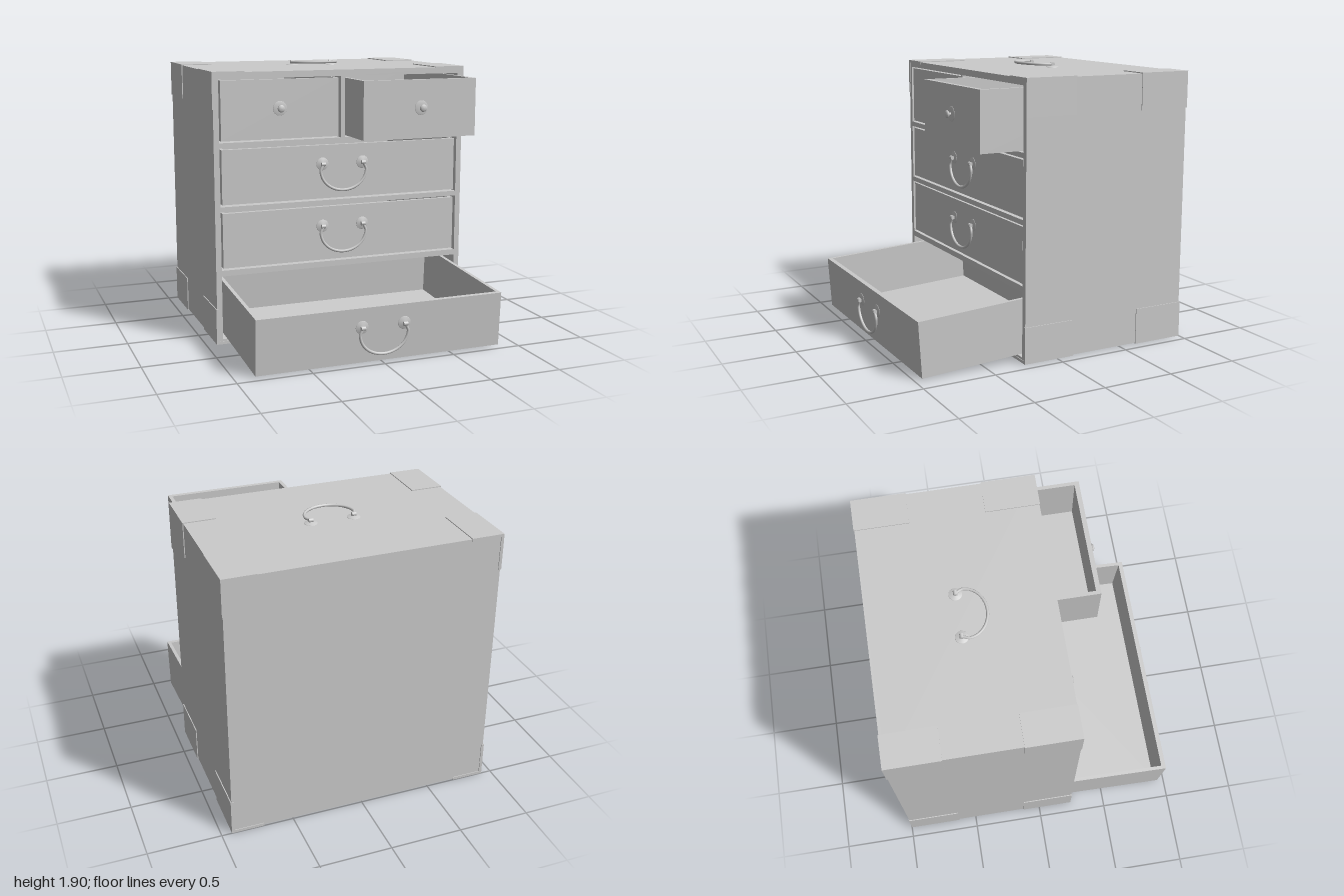
import * as THREE from 'three';

const material = new THREE.MeshStandardMaterial({ color: 0xcccccc });

function add(parent, name, geometry, x = 0, y = 0, z = 0) {
  const mesh = new THREE.Mesh(geometry, material);
  mesh.name = name;
  mesh.position.set(x, y, z);
  parent.add(mesh);
  return mesh;
}

// Box given by its minimum and maximum corners
function addBox(parent, name, [x0, y0, z0], [x1, y1, z1]) {
  return add(parent, name, new THREE.BoxGeometry(x1 - x0, y1 - y0, z1 - z0),
    (x0 + x1) / 2, (y0 + y1) / 2, (z0 + z1) / 2);
}

function rectangle(path, x0, y0, x1, y1) {
  path.moveTo(x0, y0).lineTo(x1, y0).lineTo(x1, y1).lineTo(x0, y1).closePath();
  return path;
}

// Turned part whose axis points along +z
function turned(profile, segments = 24) {
  const points = profile.map(([r, h]) => new THREE.Vector2(r, h));
  return new THREE.LatheGeometry(points, segments).rotateX(Math.PI / 2);
}

// Swinging handle: two rosettes with pins and a curved bail hanging down -y
function makeHandle() {
  const handle = new THREE.Group();
  handle.name = 'handle';
  for (const s of [-1, 1]) {
    add(handle, 'rosette', turned([[0.045, 0], [0.043, 0.004], [0.022, 0.007], [0.01, 0.012], [0, 0.012]]), s * 0.15);
    add(handle, 'pin', new THREE.CylinderGeometry(0.008, 0.008, 0.024, 12).rotateX(Math.PI / 2), s * 0.15, 0, 0.012);
    add(handle, 'pivot', new THREE.CylinderGeometry(0.014, 0.014, 0.03, 16).rotateZ(Math.PI / 2), s * 0.15, 0, 0.02);
  }
  const points = [new THREE.Vector3(-0.15, 0, 0.02)];
  for (let i = 0; i <= 20; i++) {
    const a = Math.PI * (1 + i / 20);
    const y = -0.045 + 0.142 * Math.sin(a);
    points.push(new THREE.Vector3(0.17 * Math.cos(a), y, 0.02 - y * 0.04));
  }
  points.push(new THREE.Vector3(0.15, 0, 0.02));
  add(handle, 'bail', new THREE.TubeGeometry(new THREE.CatmullRomCurve3(points), 48, 0.01, 8));
  return handle;
}

function makeKnob() {
  const knob = new THREE.Group();
  knob.name = 'knob';
  add(knob, 'rosette', turned([[0.05, 0], [0.048, 0.004], [0.02, 0.006], [0, 0.006]]));
  add(knob, 'knobHead', turned([[0.01, 0], [0.01, 0.02], [0.02, 0.023], [0.026, 0.03], [0.024, 0.037], [0.014, 0.042], [0, 0.043]]));
  return knob;
}

// Open-topped drawer: front face on z = 0, underside on y = 0
function makeDrawer(name, width, height) {
  const depth = 1.15, t = 0.025, w = width / 2;
  const drawer = new THREE.Group();
  drawer.name = name;
  addBox(drawer, 'drawerFront', [-w, 0, -0.032], [w, height, 0]);
  addBox(drawer, 'drawerBack', [-w, 0, -depth], [w, height, -depth + t]);
  addBox(drawer, 'drawerFloor', [-w + t, 0, -depth + t], [w - t, 0.025, -0.032]);
  for (const s of [-1, 1]) {
    const inner = s * (w - t), outer = s * w;
    addBox(drawer, 'drawerSide', [Math.min(inner, outer), 0, -depth + t], [Math.max(inner, outer), height, -0.032]);
  }
  return drawer;
}

export function createModel() {
  const model = new THREE.Group();
  model.name = 'chestOfDrawers';

  // Carcass with one opening per drawer
  const outline = rectangle(new THREE.Shape(), -0.924, 0.006, 0.924, 1.864);
  const openings = [
    [-0.885, 1.395, -0.015, 1.82], [0.015, 1.395, 0.885, 1.82],
    [-0.885, 0.96, 0.885, 1.36], [-0.885, 0.52, 0.885, 0.925], [-0.885, 0.035, 0.885, 0.48],
  ];
  for (const o of openings) outline.holes.push(rectangle(new THREE.Path(), ...o));
  add(model, 'carcass', new THREE.ExtrudeGeometry(outline, { depth: 1.217, bevelEnabled: false }), 0, 0, -0.974);
  addBox(model, 'backPanel', [-0.924, 0.006, -0.995], [0.924, 1.864, -0.974]);

  // Metal plates wrapping the eight corners
  for (const sx of [-1, 1]) for (const top of [0, 1]) for (const [z0, z1] of [[-1, -0.63], [-0.122, 0.247]]) {
    const corner = new THREE.Group();
    corner.name = 'cornerPlate';
    const y0 = top ? 1.62 : 0;
    const yFlat = top ? 1.85 : 0;
    const xs = [sx * 0.91, sx * 0.93].sort((a, b) => a - b);
    const xf = [sx * 0.705, sx * 0.91].sort((a, b) => a - b);
    addBox(corner, 'sidePlate', [xs[0], y0, z0], [xs[1], y0 + 0.25, z1]);
    addBox(corner, 'flatPlate', [xf[0], yFlat, z0], [xf[1], yFlat + 0.02, z1]);
    model.add(corner);
  }

  // Drawers: name, centre x, base y, front z, width, height, forward tilt
  const drawers = [
    ['topLeftDrawer', 0.45, 1.405, 0.54, 0.84, 0.4, 0],
    ['topRightDrawer', -0.45, 1.405, 0.235, 0.84, 0.405, 0],
    ['upperDrawer', 0, 0.972, 0.235, 1.74, 0.375, 0],
    ['middleDrawer', 0, 0.532, 0.235, 1.74, 0.38, 0],
    ['bottomDrawer', 0, 0.01, 0.95, 1.734, 0.375, 0.062],
  ];
  for (const [name, x, y, z, width, height, tilt] of drawers) {
    const drawer = makeDrawer(name, width, height);
    const pull = x === 0 ? makeHandle() : makeKnob();
    pull.position.set(x === 0 ? 0 : Math.sign(x) * 0.006, x === 0 ? 0.243 : 0.208, 0);
    drawer.add(pull);
    drawer.position.set(x, y, z);
    drawer.rotation.x = tilt;
    model.add(drawer);
  }

  // Carrying handle lying on the top
  const carry = makeHandle();
  carry.name = 'topHandle';
  carry.position.set(0, 1.864, -0.4);
  carry.rotation.x = -Math.PI / 2;
  model.add(carry);

  return model;
}
